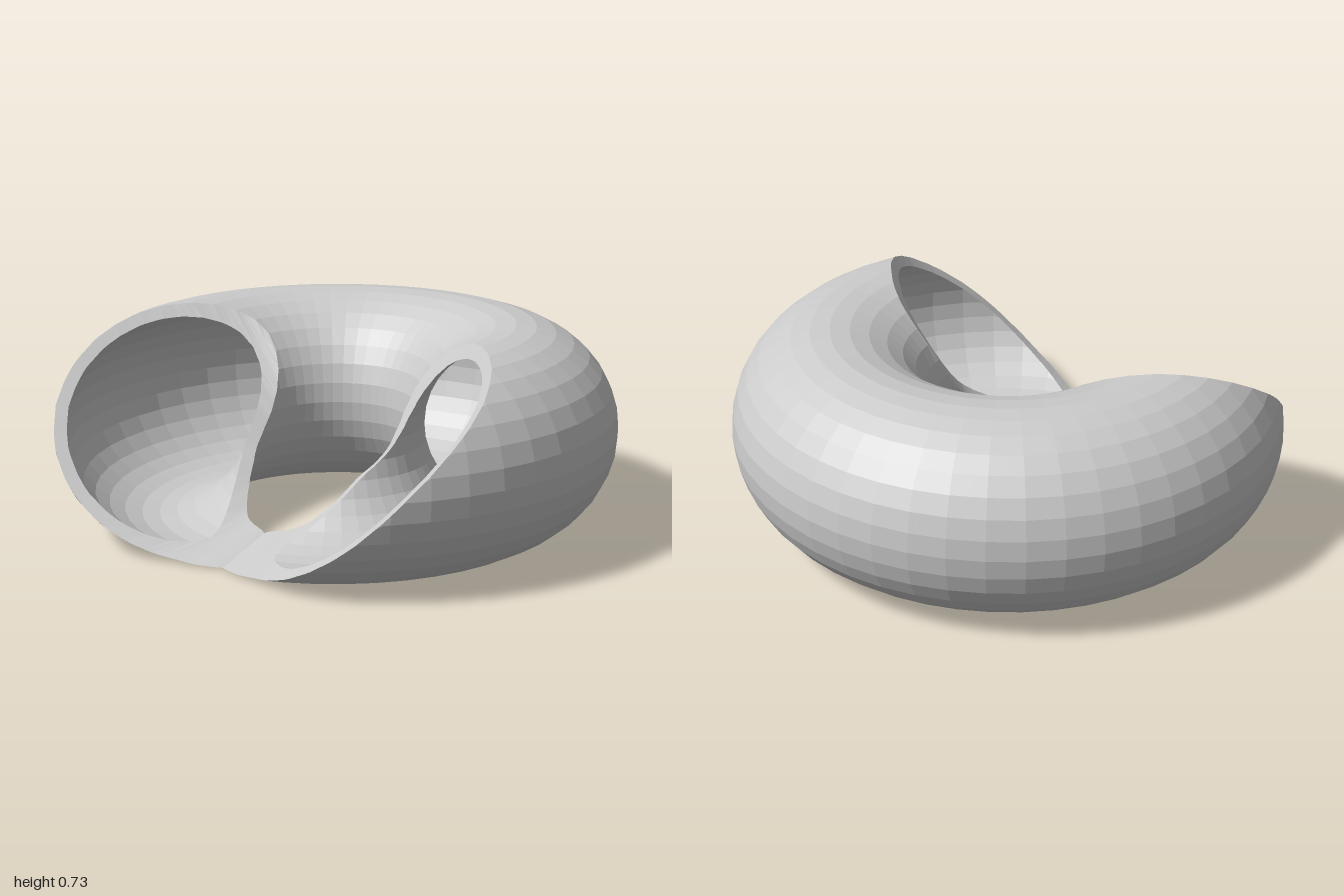
import * as THREE from 'three';

const MAJOR = 0.635, OUTER = 0.365, INNER = 0.32, CENTRE_Z = 0.12;
const RING_SIDES = 48, TUBE_SIDES = 32, FINE = 288;
const { degToRad, clamp } = THREE.MathUtils;

// The opening: at each angle around the ring (0 = front) the tube is cut by a
// straight chord, given by its facing angle and its distance from the tube centre.
const END = 103.5;
const angles = [0, 18.7, 33, 52, 63, 85, 95, END];
const facing = [-105, -100, -91.5, -75, -65, -46, -42, -41];
const offset = [0.345, 0.306, 0.212, 0.024, -0.073, -0.258, -0.32, -OUTER];
const facingCurve = new THREE.CubicInterpolant(angles, facing, 1, [0]);
const offsetCurve = new THREE.CubicInterpolant(angles, offset, 1, [0]);

function chordAt(theta) {
  const a = Math.min(Math.abs(theta), END);
  if (a >= END) return { c: -41, d: -OUTER };
  return { c: facingCurve.evaluate(a)[0], d: offsetCurve.evaluate(a)[0] };
}

// Half the angle of tube wall left by the chord, in degrees
const halfArc = (d, radius) => THREE.MathUtils.radToDeg(Math.acos(clamp(d / radius, -1, 1)));

// Scale that keeps a point on the straight side of a regular polygon
function polygon(angle, sides) {
  const step = 360 / sides;
  const local = (((angle % step) + step) % step) - step / 2;
  return Math.cos(degToRad(step / 2)) / Math.cos(degToRad(local));
}

function torusPoint(theta, phi, radius) {
  const p = degToRad(phi), t = degToRad(theta);
  const tube = radius * polygon(phi, TUBE_SIDES);
  const r = (MAJOR + tube * Math.cos(p)) * polygon(theta, RING_SIDES);
  return new THREE.Vector3(r * Math.sin(t), OUTER + tube * Math.sin(p), CENTRE_Z + r * Math.cos(t));
}

// Skin a loop of cross-sections, leaving out collapsed triangles
function skin(section, flip) {
  const rows = [];
  for (let i = 0; i <= FINE; i++) rows.push(section(-180 + (360 * i) / FINE));
  const positions = [];
  const add = (a, b, c) => {
    if (new THREE.Triangle(a, b, c).getArea() < 1e-9) return;
    for (const v of flip ? [a, c, b] : [a, b, c]) positions.push(v.x, v.y, v.z);
  };
  for (let i = 0; i < FINE; i++) {
    for (let j = 0; j < rows[i].length - 1; j++) {
      const a = rows[i][j], b = rows[i + 1][j], c = rows[i + 1][j + 1], d = rows[i][j + 1];
      add(a, b, c);
      add(a, c, d);
    }
  }
  const geometry = new THREE.BufferGeometry();
  geometry.setAttribute('position', new THREE.Float32BufferAttribute(positions, 3));
  geometry.computeVertexNormals();
  return geometry;
}

// Tube wall: a regular grid of angles, trimmed to the part kept by the chord
function wallSection(theta, radius) {
  const { c, d } = chordAt(theta);
  const half = halfArc(d, radius), step = 360 / TUBE_SIDES;
  const points = [];
  for (let phi = -236.25; phi <= 157.5; phi += step) {
    points.push(torusPoint(theta, clamp(phi, c - half, c + half), Math.max(radius, d)));
  }
  return points;
}

// Cut edge between the outer and inner walls, on one side of the chord
function rimSection(theta, side) {
  const { c, d } = chordAt(theta);
  return [
    torusPoint(theta, c + side * halfArc(d, OUTER), OUTER),
    torusPoint(theta, c + side * halfArc(d, INNER), Math.max(INNER, Math.abs(d))),
  ];
}

export function createModel() {
  const group = new THREE.Group();
  group.name = 'hollowRing';
  const material = new THREE.MeshStandardMaterial({
    color: 0xcccccc, flatShading: true, side: THREE.DoubleSide,
  });
  const add = (name, geometry) => {
    const mesh = new THREE.Mesh(geometry, material);
    mesh.name = name;
    group.add(mesh);
  };
  add('outerWall', skin((t) => wallSection(t, OUTER), false));
  add('innerWall', skin((t) => wallSection(t, INNER), true));
  add('outsideRim', skin((t) => rimSection(t, 1), false));
  add('holeSideRim', skin((t) => rimSection(t, -1), true));
  return group;
}
